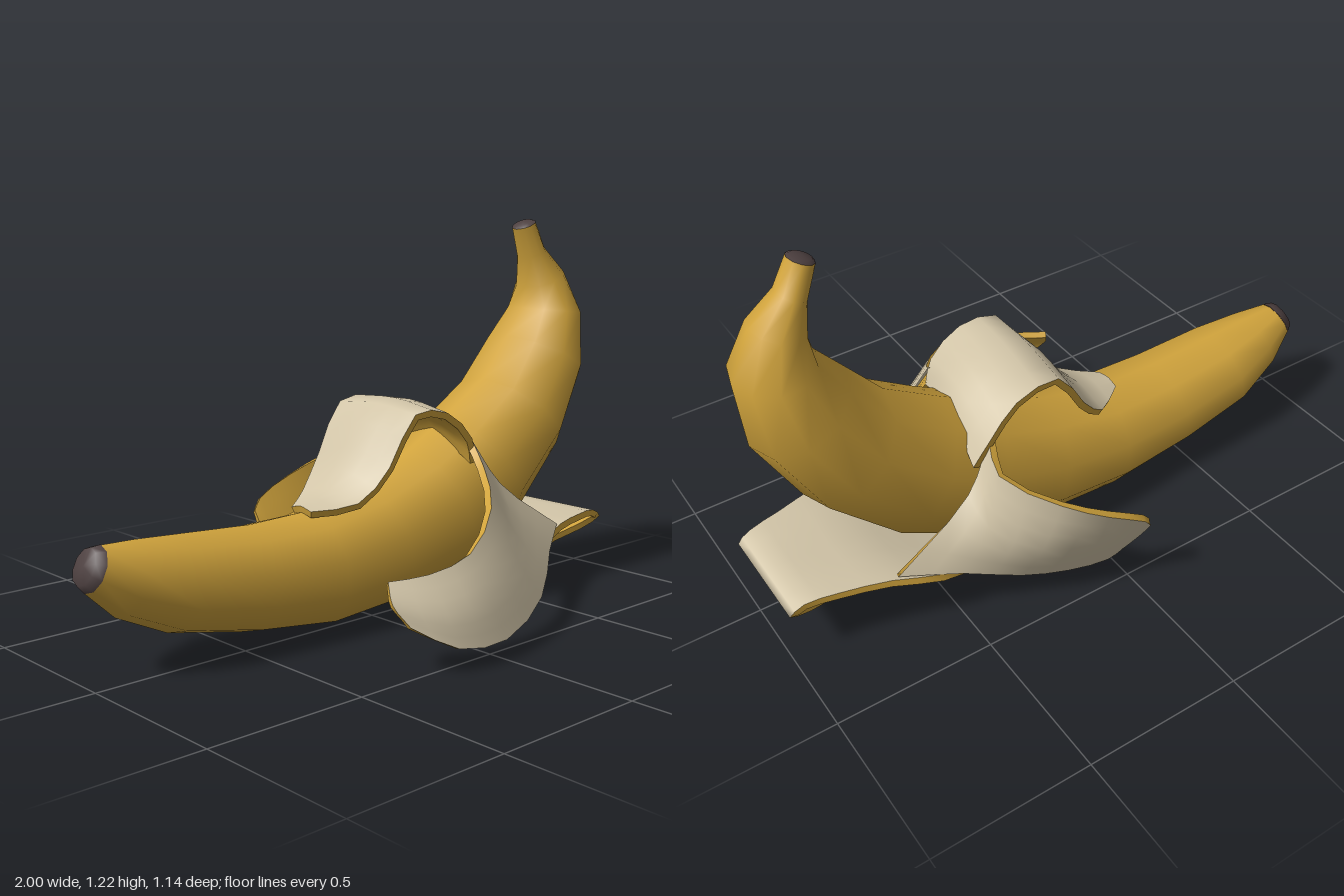
import * as THREE from 'three';
import { mergeVertices } from 'three/addons/utils/BufferGeometryUtils.js';

const Z0 = -0.06; // middle plane of the fruit
const V = (x, y, z) => new THREE.Vector3(x, y, z);
const material = (color) => new THREE.MeshStandardMaterial({ color, roughness: 0.8, side: THREE.DoubleSide });

// Smooth surface through rows of points; it faces (along rows) x (across rows)
function grid(rows) {
  const pos = [], index = [], n = rows[0].length;
  rows.forEach((row) => row.forEach((p) => pos.push(p.x, p.y, p.z)));
  for (let i = 0; i < rows.length - 1; i++) {
    for (let j = 0; j < n - 1; j++) {
      const a = i * n + j, b = a + n;
      index.push(a, b, a + 1, b, b + 1, a + 1);
    }
  }
  let geo = new THREE.BufferGeometry();
  geo.setAttribute('position', new THREE.Float32BufferAttribute(pos, 3));
  geo.setIndex(index);
  geo = mergeVertices(geo, 1e-5);
  geo.computeVertexNormals();
  return geo;
}

const smooth = (pts, n) => new THREE.CatmullRomCurve3(pts, false, 'centripetal').getPoints(n);

// Elliptical tube along a spine of [x, y, half height, half width]
function loft(spine, sides = 10) {
  return grid(spine.map(([x, y, h, w], i) => {
    const p = spine[Math.max(i - 1, 0)], q = spine[Math.min(i + 1, spine.length - 1)];
    const t = V(q[0] - p[0], q[1] - p[1], 0).normalize();
    return Array.from({ length: sides + 1 }, (_, k) => {
      const a = ((k % sides) / sides) * Math.PI * 2;
      const c = Math.cos(a) * h;
      return V(x - t.y * c, y + t.x * c, Z0 - Math.sin(a) * w);
    });
  }));
}

// Peeled strip: pale inner skin, golden outer skin and rim
function peel(name, controlRows, pale, gold, thickness = 0.022) {
  const across = controlRows.map((r) => smooth(r.map((p) => V(...p)), 6));
  const columns = across[0].map((_, j) => smooth(across.map((r) => r[j]), (across.length - 1) * 2));
  const rows = columns[0].map((_, i) => columns.map((c) => c[i]));
  const at = (i, j) => rows[THREE.MathUtils.clamp(i, 0, rows.length - 1)][THREE.MathUtils.clamp(j, 0, 6)];
  const back = rows.map((r, i) => r.map((p, j) => {
    const du = at(i + 1, j).clone().sub(at(i - 1, j));
    const dv = at(i, j + 1).clone().sub(at(i, j - 1));
    return p.clone().addScaledVector(du.cross(dv).normalize(), -thickness);
  }));
  const last = rows.length - 1;
  const group = new THREE.Group();
  group.name = name;
  const add = (part, geo, mat) => {
    const mesh = new THREE.Mesh(geo, mat);
    mesh.name = part;
    group.add(mesh);
  };
  add('innerSkin', grid(rows), pale);
  add('outerSkin', grid(back.map((r) => [...r].reverse())), gold);
  add('rimA', grid(rows.map((r, i) => [back[i][0], r[0]])), gold);
  add('rimB', grid(rows.map((r, i) => [r[6], back[i][6]])), gold);
  add('rimEnd', grid([rows[last], back[last]]), gold);
  return group;
}

export function createModel() {
  const model = new THREE.Group();
  const gold = material(0xd0a33c), pale = material(0xd2c5a8), dark = material(0x4d4040);
  const add = (name, geo, mat) => {
    const mesh = new THREE.Mesh(geo, mat);
    mesh.name = name;
    model.add(mesh);
  };

  // Curved fruit from blossom end to stem
  const spine = [
    [-0.96, 0.33, 0.068, 0.065], [-0.86, 0.285, 0.11, 0.11], [-0.7, 0.24, 0.142, 0.155],
    [-0.45, 0.205, 0.16, 0.175], [-0.2, 0.19, 0.18, 0.187], [0.05, 0.225, 0.2, 0.2],
    [0.3, 0.3, 0.22, 0.215], [0.5, 0.41, 0.22, 0.217], [0.7, 0.575, 0.19, 0.205],
    [0.825, 0.765, 0.165, 0.182], [0.875, 0.92, 0.118, 0.14], [0.85, 1.03, 0.082, 0.09],
    [0.8, 1.12, 0.045, 0.054], [0.76, 1.215, 0.04, 0.042],
  ];
  add('fruit', loft(spine), gold);

  // Dark ends
  add('blossomEnd', loft([[-0.988, 0.343, 0, 0], [-0.985, 0.341, 0.055, 0.05], [-0.96, 0.33, 0.069, 0.066]]), dark);
  add('stemEnd', loft([[0.76, 1.215, 0.041, 0.043], [0.757, 1.222, 0.03, 0.03], [0.756, 1.225, 0, 0]]), dark);

  // Upper strip, arching up and back over the fruit: [x, edge y, middle y, back z, front z]
  const top = [
    [0.36, 0.48, 0.55, -0.27, 0.14], [0.32, 0.56, 0.61, -0.28, 0.15], [0.22, 0.65, 0.67, -0.27, 0.14],
    [0.08, 0.655, 0.67, -0.25, 0.12], [-0.02, 0.5, 0.54, -0.23, 0.1], [-0.12, 0.4, 0.425, -0.19, 0.07],
    [-0.24, 0.38, 0.39, -0.1, -0.01],
  ].map(([x, ye, ym, zb, zf], i) => {
    const skew = [0.04, 0.03, 0.03, 0.01, 0, 0, 0][i];
    return [[x + skew, ye, zb], [x, ym, Z0], [x - skew, ye, zf]];
  });
  model.add(peel('upperPeel', top, pale, gold));

  // Front strip, from upper edge to lower edge
  model.add(peel('frontPeel', [
    [[0.31, 0.55, 0.13], [0.41, 0.4, 0.165], [0.68, 0.225, 0.18]],
    [[0.27, 0.48, 0.22], [0.33, 0.34, 0.28], [0.5, 0.185, 0.3]],
    [[0.13, 0.4, 0.38], [0.17, 0.25, 0.45], [0.25, 0.125, 0.48]],
    [[-0.05, 0.31, 0.465], [-0.04, 0.19, 0.53], [0, 0.07, 0.565]],
    [[-0.2, 0.275, 0.45], [-0.2, 0.175, 0.52], [-0.18, 0.08, 0.55]],
    [[-0.31, 0.265, 0.4], [-0.33, 0.21, 0.44], [-0.3, 0.15, 0.48]],
  ], pale, gold));

  // Back strip, from lower edge to upper edge, leaning outwards
  model.add(peel('backPeel', [
    [[0.68, 0.225, -0.3], [0.43, 0.4, -0.285], [0.34, 0.55, -0.26]],
    [[0.5, 0.185, -0.36], [0.42, 0.34, -0.38], [0.37, 0.5, -0.36]],
    [[0.33, 0.12, -0.41], [0.3, 0.27, -0.48], [0.25, 0.43, -0.5]],
    [[0.18, 0.08, -0.44], [0.13, 0.22, -0.51], [0.12, 0.36, -0.555]],
    [[0.04, 0.06, -0.455], [0.01, 0.17, -0.51], [0, 0.29, -0.57]],
    [[0, 0.1, -0.475], [-0.03, 0.18, -0.52], [-0.03, 0.25, -0.56]],
  ], pale, gold));

  // Lower strip, running under the stem half and folding under: [x, edge y, middle y, half width]
  const lower = [
    [0.25, 0.09, 0.065, 0.13], [0.4, 0.145, 0.09, 0.24], [0.55, 0.195, 0.145, 0.28], [0.7, 0.222, 0.2, 0.24],
    [0.85, 0.225, 0.215, 0.2], [0.95, 0.22, 0.22, 0.18], [0.995, 0.19, 0.19, 0.175],
    [0.92, 0.15, 0.15, 0.15], [0.83, 0.115, 0.115, 0.11], [0.755, 0.06, 0.06, 0.06],
  ].map(([x, ye, ym, w]) => [[x, ye, Z0 + w], [x, ym, Z0], [x, ye, Z0 - w]]);
  model.add(peel('lowerPeel', lower, pale, gold));

  return model;
}
